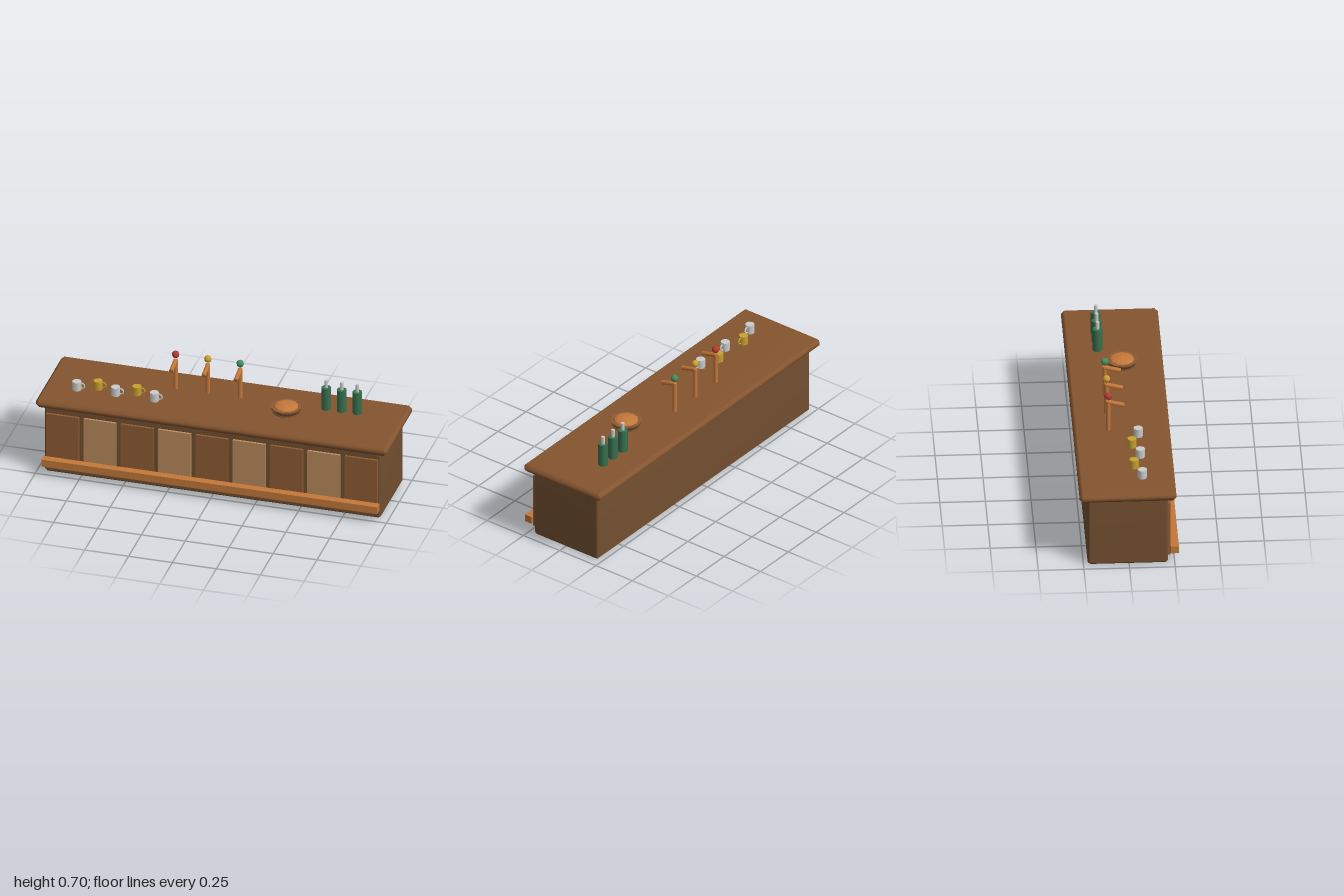
import * as THREE from 'three';
import { mergeVertices } from 'three/addons/utils/BufferGeometryUtils.js';

const mat = (color, flatShading = false) => new THREE.MeshStandardMaterial({ color, flatShading });
const WOOD = mat(0x734f30), TOP = mat(0x85552f), DARK = mat(0x8f5c35), LIGHT = mat(0xb98b5a);
const COPPER = mat(0xc4783a), WHITE = mat(0xcccccc), GOLD = mat(0xc9a030), GREEN = mat(0x38704f);
const PLATE = mat(0x6b4a30, true), CRUST = mat(0x8a5a34, true), FILLING = mat(0xc4783a, true);

function add(parent, name, geometry, material, x = 0, y = 0, z = 0) {
  const m = new THREE.Mesh(geometry, material);
  m.name = name;
  m.position.set(x, y, z);
  parent.add(m);
  return m;
}

function group(parent, name, x, y, z) {
  const g = new THREE.Group();
  g.name = name;
  g.position.set(x, y, z);
  parent.add(g);
  return g;
}

// Box with chamfered edges: a 3x3 grid per face, pulled in near the edges
function chamferBox(size, bevel) {
  let geo = new THREE.BoxGeometry(1, 1, 1, 3, 3, 3);
  geo.deleteAttribute('normal');
  geo.deleteAttribute('uv');
  geo = mergeVertices(geo);
  const p = geo.attributes.position;
  for (let i = 0; i < p.count; i++) {
    const v = [p.getX(i), p.getY(i), p.getZ(i)];
    const outer = v.filter(c => Math.abs(c) > 0.4).length;
    const inset = [0, 0, bevel / 2, bevel * 2 / 3][outer];
    const q = v.map((c, k) => Math.sign(c) * (size[k] / 2 - (Math.abs(c) > 0.4 ? inset : bevel)));
    p.setXYZ(i, ...q);
  }
  geo.computeVertexNormals();
  return geo;
}

// Cylinder standing on y = 0
const post = (r, h, sides = 8) => new THREE.CylinderGeometry(r, r, h, sides).translate(0, h / 2, 0);

export function createModel() {
  const bar = new THREE.Group();
  bar.name = 'barCounter';
  const topY = 0.464;

  // Counter body and top
  add(bar, 'counterBody', chamferBox([1.915, 0.412, 0.441], 0.014), WOOD, -0.002, 0.206, -0.0065);
  add(bar, 'counterTop', chamferBox([2, 0.052, 0.53], 0.019), TOP, 0, 0.438, -0.007);

  // Front panels in alternating wood
  const panel = new THREE.BoxGeometry(0.186, 0.325, 0.03);
  for (let i = 0; i < 9; i++) {
    add(bar, 'frontPanel', panel, i % 2 ? LIGHT : DARK, -0.002 + (i - 4) * 0.2125, 0.2075, 0.213);
  }

  // Foot rail
  add(bar, 'footRail', new THREE.BoxGeometry(1.912, 0.043, 0.045), COPPER, -0.002, 0.0825, 0.2505);

  // Mugs with a handle on their left
  [-0.813, -0.703, -0.592, -0.482, -0.371].forEach((x, i) => {
    const m = i % 2 ? GOLD : WHITE;
    const mug = group(bar, 'mug', x, topY, i % 2 ? 0.04 : 0.08);
    add(mug, 'mugCup', post(0.026, 0.051), m);
    add(mug, 'mugHandle', new THREE.TorusGeometry(0.016, 0.005, 6, 12), m, 0.028, 0.026, 0);
  });

  // Beer taps: post, sloping spout, coloured knob
  const knobs = [0xb83a34, 0xd0a030, 0x44905a];
  [-0.297, -0.113, 0.071].forEach((x, i) => {
    const tap = group(bar, 'tap', x, topY, -0.08);
    add(tap, 'tapPost', post(0.0125, 0.182), COPPER);
    const spout = add(tap, 'tapSpout', post(0.0125, 0.09), COPPER, 0, 0.177, 0);
    spout.rotation.x = Math.PI / 2 + 0.25;
    add(tap, 'tapKnob', new THREE.SphereGeometry(0.021, 8, 8), mat(knobs[i]), 0, 0.214, 0);
  });

  // Bottles with pale necks
  for (const x of [0.557, 0.645, 0.734]) {
    const bottle = group(bar, 'bottle', x, topY, -0.095);
    add(bottle, 'bottleBody', post(0.0275, 0.133), GREEN);
    add(bottle, 'bottleNeck', post(0.0105, 0.045), WHITE, 0, 0.133, 0);
  }

  // Pie on a flared plate
  const pie = group(bar, 'pie', 0.365, topY, 0.029);
  const lathe = pts => new THREE.LatheGeometry(pts.map(p => new THREE.Vector2(...p)), 12);
  add(pie, 'pieStand', lathe([[0, 0], [0.026, 0], [0.078, 0.021], [0.078, 0.024], [0, 0.024]]), PLATE);
  add(pie, 'pieCrust', lathe([[0, 0.023], [0.069, 0.023], [0.083, 0.042], [0.086, 0.052], [0.07, 0.052], [0, 0.05]]), CRUST);
  const dome = new THREE.SphereGeometry(0.069, 12, 4, 0, Math.PI * 2, 0, Math.PI / 2);
  add(pie, 'pieFilling', dome, FILLING, 0, 0.05, 0).scale.y = 0.29;

  return bar;
}
